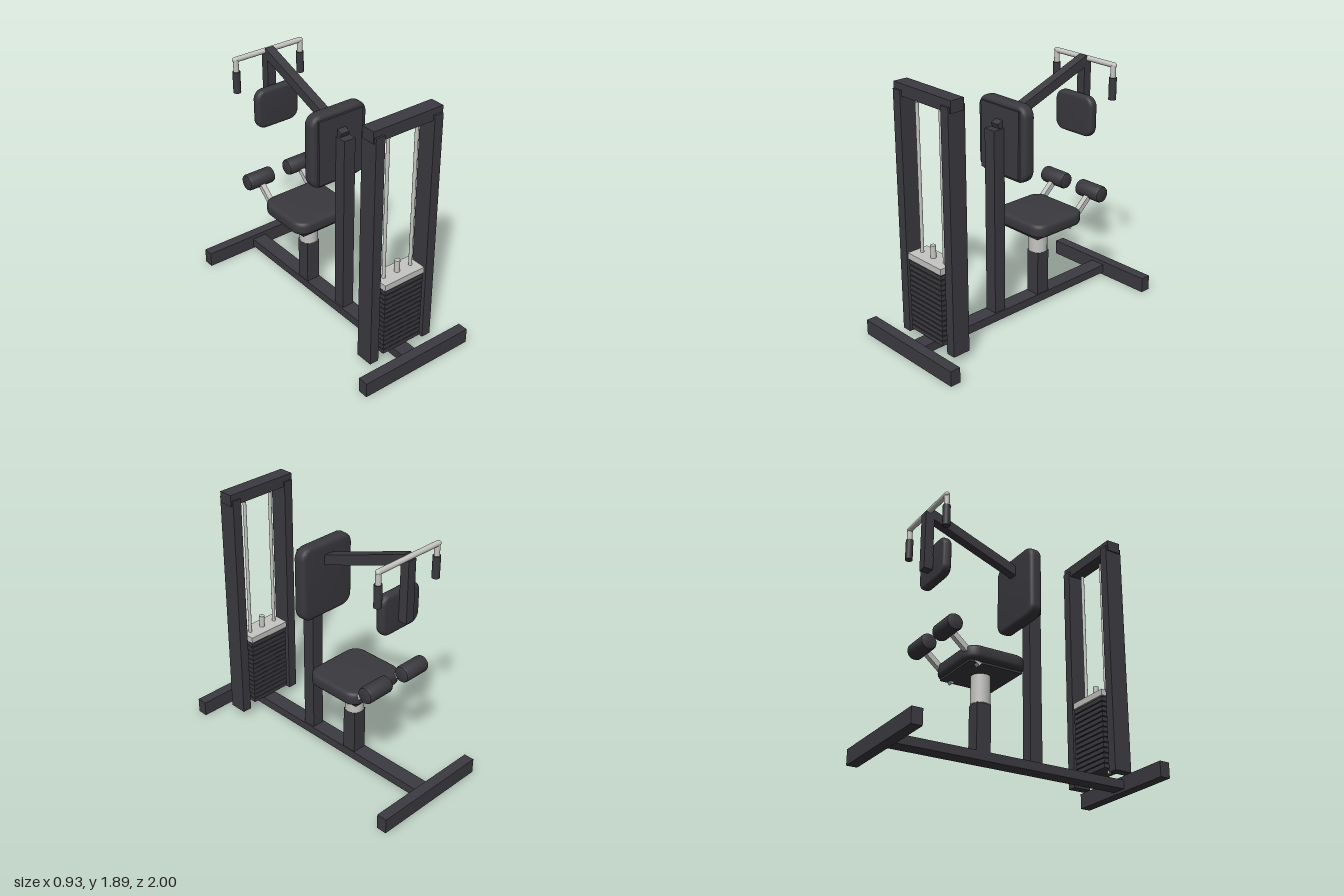
import * as THREE from 'three';
import { toCreasedNormals } from 'three/addons/utils/BufferGeometryUtils.js';

export function createModel() {
  const group = new THREE.Group();
  const material = (name, color) => {
    const m = new THREE.MeshStandardMaterial({ color });
    m.name = name;
    return m;
  };
  const frame = material('frame charcoal', 0x3c3b41);
  const padding = material('padding charcoal', 0x3a393e);
  const steel = material('brushed steel', 0xc6c6c3);

  function add(name, geometry, mat, x = 0, y = 0, z = 0) {
    const mesh = new THREE.Mesh(geometry, mat);
    mesh.name = name;
    mesh.position.set(x, y, z);
    group.add(mesh);
    return mesh;
  }
  // Box given by its extents on each axis
  const box = (name, mat, x0, x1, y0, y1, z0, z1) =>
    add(name, new THREE.BoxGeometry(x1 - x0, y1 - y0, z1 - z0), mat,
      (x0 + x1) / 2, (y0 + y1) / 2, (z0 + z1) / 2);
  // Upright cylinder between two heights
  const post = (name, mat, r, x, y0, y1, z) =>
    add(name, new THREE.CylinderGeometry(r, r, y1 - y0, 24), mat, x, (y0 + y1) / 2, z);
  // Square bar running between two points in the side plane
  function slopedBar(name, mat, x, width, thick, [y0, z0], [y1, z1]) {
    const bar = add(name, new THREE.BoxGeometry(width, thick, Math.hypot(y1 - y0, z1 - z0)),
      mat, x, (y0 + y1) / 2, (z0 + z1) / 2);
    bar.rotation.x = Math.atan2(y1 - y0, z0 - z1);
  }
  // Cushion with rounded corners and soft edges, facing +z
  function cushion(w, h, depth, radius, bevel) {
    const a = w / 2 - bevel, b = h / 2 - bevel, r = radius - bevel;
    const s = new THREE.Shape();
    s.absarc(a - r, b - r, r, 0, Math.PI / 2);
    s.absarc(-a + r, b - r, r, Math.PI / 2, Math.PI);
    s.absarc(-a + r, -b + r, r, Math.PI, Math.PI * 1.5);
    s.absarc(a - r, -b + r, r, Math.PI * 1.5, Math.PI * 2);
    const g = new THREE.ExtrudeGeometry(s, {
      depth: depth - 2 * bevel, bevelEnabled: true, bevelSize: bevel,
      bevelThickness: bevel, bevelSegments: 4, curveSegments: 6,
    });
    g.center();
    return toCreasedNormals(g, 0.6);
  }

  // Base
  box('frontFoot', frame, -0.467, 0.467, 0, 0.115, 0.92, 1);
  box('backFoot', frame, -0.467, 0.467, 0, 0.115, -1, -0.92);
  box('baseBeam', frame, -0.06, 0.06, 0.02, 0.085, -0.93, 0.93);

  // Weight tower
  for (const s of [-1, 1]) {
    const c = s * 0.2425;
    box('towerColumn', frame, c - 0.0365, c + 0.0365, 0.06, 1.845, 0.677, 0.815);
    post('guideRod', steel, 0.0125, s * 0.12, 0.085, 1.775, 0.745);
  }
  box('towerTopBeam', frame, -0.288, 0.288, 1.805, 1.89, 0.69, 0.8);

  // Weight stack
  const plates = 14, pitch = 0.545 / plates;
  for (let i = 0; i < plates; i++) {
    const y = 0.105 + i * pitch;
    box('weightPlate', frame, -0.17, 0.17, y, y + pitch * 0.8, 0.667, 0.823);
  }
  box('stackCore', frame, -0.16, 0.16, 0.11, 0.65, 0.677, 0.813);
  box('stackTopPlate', steel, -0.175, 0.175, 0.65, 0.697, 0.662, 0.828);
  post('selectorStem', steel, 0.02, 0, 0.69, 0.79, 0.745);

  // Back rest
  box('backUpright', frame, -0.048, 0.048, 0.08, 1.49, 0.13, 0.227);
  box('backRestPlate', frame, -0.19, 0.19, 1.145, 1.64, 0.105, 0.135);
  add('backRest', cushion(0.476, 0.565, 0.1, 0.085, 0.03), padding, 0, 1.393, 0.07);

  // Press arm with its hanging bar and chest pad
  slopedBar('pressArm', frame, 0, 0.07, 0.073, [1.49, 0.168], [1.81, -0.702]);
  box('hangingBar', frame, -0.035, 0.035, 1.35, 1.81, -0.735, -0.667);
  add('chestPad', cushion(0.364, 0.306, 0.07, 0.075, 0.025), padding, 0, 1.418, -0.627);
  box('chestPadMount', frame, -0.03, 0.03, 1.38, 1.46, -0.68, -0.65);

  // Handles
  const crossbar = new THREE.CapsuleGeometry(0.02, 0.57, 4, 16).rotateZ(Math.PI / 2);
  add('handleCrossbar', crossbar, steel, 0, 1.819, -0.705);
  for (const s of [-1, 1]) {
    post('handleDrop', steel, 0.02, s * 0.28, 1.72, 1.819, -0.702);
    post('handleGrip', padding, 0.028, s * 0.28, 1.567, 1.73, -0.702);
  }

  // Seat and its post
  box('seatPost', frame, -0.055, 0.055, 0.08, 0.43, -0.304, -0.194);
  post('seatSleeve', steel, 0.07, 0, 0.43, 0.642, -0.248);
  box('seatPlate', frame, -0.205, 0.205, 0.64, 0.665, -0.455, -0.04);
  add('seat', cushion(0.506, 0.478, 0.102, 0.1, 0.03).rotateX(-Math.PI / 2), padding, 0, 0.706, -0.249);

  // Leg rollers on slanted arms
  const roller = new THREE.LatheGeometry([
    [0, -0.113], [0.045, -0.113], [0.057, -0.108], [0.062, -0.095],
    [0.062, 0.095], [0.057, 0.108], [0.045, 0.113], [0, 0.113],
  ].map(([r, y]) => new THREE.Vector2(r, y)), 28).rotateZ(Math.PI / 2);
  const rollerGeometry = toCreasedNormals(roller, 0.7);
  for (const s of [-1, 1]) {
    slopedBar('rollerArm', steel, s * 0.185, 0.04, 0.04, [0.637, -0.365], [0.853, -0.617]);
    add('legRoller', rollerGeometry, padding, s * 0.183, 0.853, -0.617);
  }
  return group;
}
